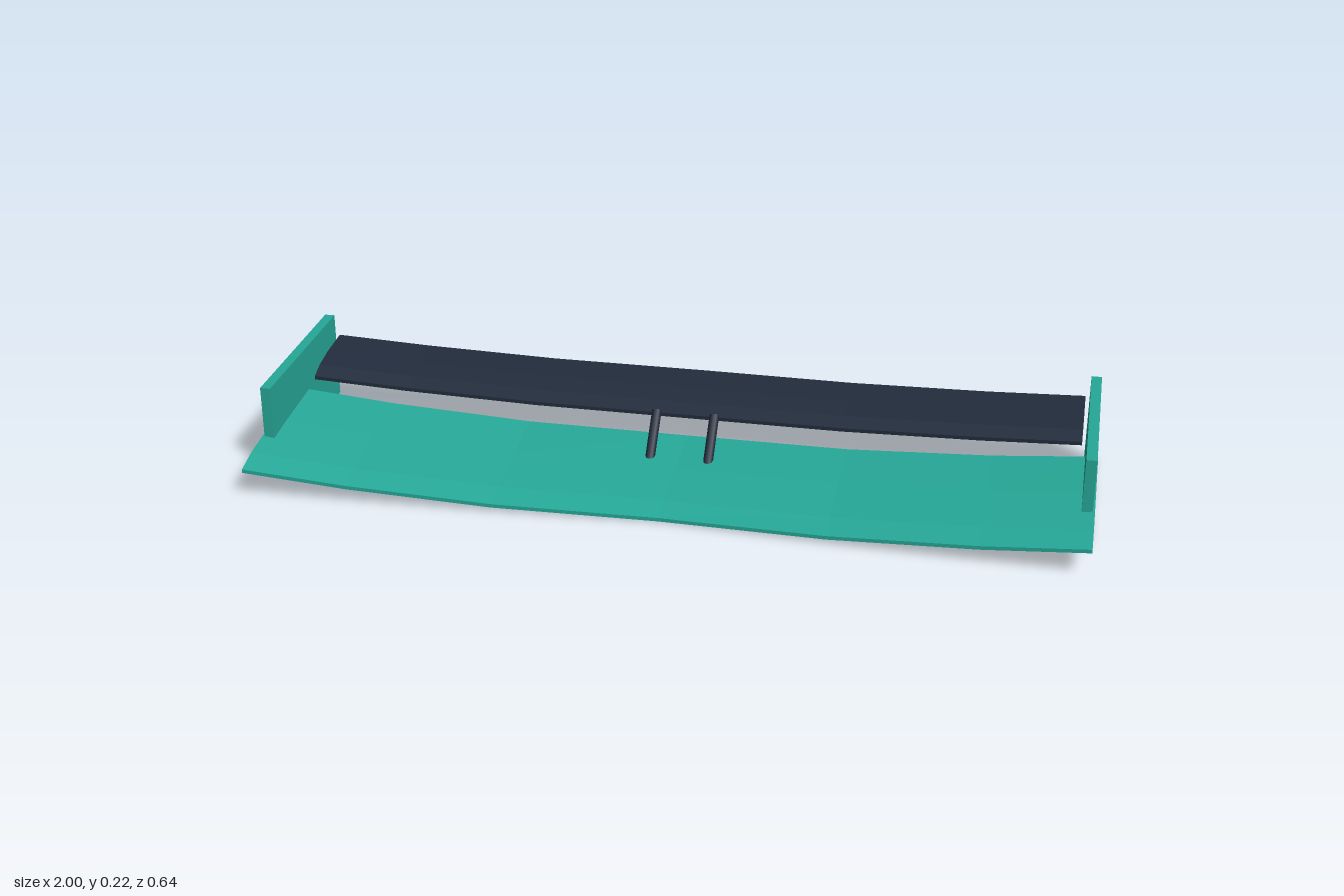
import * as THREE from 'three';

const teal = new THREE.MeshStandardMaterial({ name: 'teal paint', color: 0x26a898 });
const dark = new THREE.MeshStandardMaterial({ name: 'dark carbon', color: 0x222c3c });

// Lofts a swept wing between a centre section and a tip section.
// Sections are [z, y] points running nose, top, tail, underside.
// Sweep is linear along the span, the upward bow is quadratic.
function makeWing(name, center, tip, halfSpan, material, hub) {
  const stations = [-1, -0.75, -0.4, 0, 0.4, 0.75, 1];
  const n = center.length;
  const positions = [];
  const indices = [];
  for (const s of stations) {
    const t = Math.abs(s);
    for (let j = 0; j < n; j++) {
      positions.push(
        s * halfSpan,
        THREE.MathUtils.lerp(center[j][1], tip[j][1], t * t),
        THREE.MathUtils.lerp(center[j][0], tip[j][0], t)
      );
    }
  }
  for (let i = 0; i < stations.length - 1; i++) {
    for (let j = 0; j < n; j++) {
      const k = (j + 1) % n;
      const a = i * n + j, b = a + n, c = (i + 1) * n + k, d = i * n + k;
      indices.push(a, b, c, a, c, d);
    }
  }
  // End caps, fanned from a point that sees the whole section
  const last = (stations.length - 1) * n;
  for (let m = 1; m < n - 1; m++) {
    const p = (hub + m) % n, q = (hub + m + 1) % n;
    indices.push(hub, p, q, last + hub, last + q, last + p);
  }
  const indexed = new THREE.BufferGeometry();
  indexed.setAttribute('position', new THREE.Float32BufferAttribute(positions, 3));
  indexed.setIndex(indices);
  const geometry = indexed.toNonIndexed();
  geometry.computeVertexNormals();
  const mesh = new THREE.Mesh(geometry, material);
  mesh.name = name;
  return mesh;
}

export function createModel() {
  const group = new THREE.Group();
  group.name = 'frontWing';

  // Main plane
  const mainTip = [
    [0.318, 0.063], [0.318, 0.072], [0.253, 0.087], [0.1, 0.102],
    [-0.067, 0.113], [-0.067, 0.09], [0.095, 0.07], [0.178, 0.067]
  ];
  const mainCenter = mainTip.map(([z, y]) => [
    THREE.MathUtils.mapLinear(z, -0.067, 0.318, -0.114, 0.248), y - 0.063
  ]);
  group.add(makeWing('mainPlane', mainCenter, mainTip, 1, teal, 3));

  // Upper flap
  const flapCenter = [
    [-0.115, 0.097], [-0.115, 0.106], [-0.155, 0.121], [-0.22, 0.131],
    [-0.318, 0.137], [-0.318, 0.117], [-0.265, 0.102], [-0.2, 0.096]
  ];
  const flapTip = flapCenter.map(([z, y]) => [
    THREE.MathUtils.mapLinear(z, -0.318, -0.115, -0.285, -0.09), y + 0.031
  ]);
  group.add(makeWing('upperFlap', flapCenter, flapTip, 0.96, dark, 2));

  // End plates and sloping flap struts
  const lower = new THREE.Vector3(0, 0.008, 0.033);
  const upper = new THREE.Vector3(0, 0.128, -0.081);
  const along = upper.clone().sub(lower);
  for (const [side, label] of [[1, 'left'], [-1, 'right']]) {
    const plate = new THREE.Mesh(new THREE.BoxGeometry(0.025, 0.22, 0.461), teal);
    plate.name = label + 'EndPlate';
    plate.position.set(side * 0.9825, 0.113, -0.0525);
    group.add(plate);

    const strut = new THREE.Mesh(new THREE.CylinderGeometry(0.012, 0.012, along.length(), 12), dark);
    strut.name = label + 'Strut';
    strut.position.copy(lower).add(upper).multiplyScalar(0.5);
    strut.position.x = side * 0.072;
    strut.quaternion.setFromUnitVectors(new THREE.Vector3(0, 1, 0), along.clone().normalize());
    group.add(strut);
  }
  return group;
}
